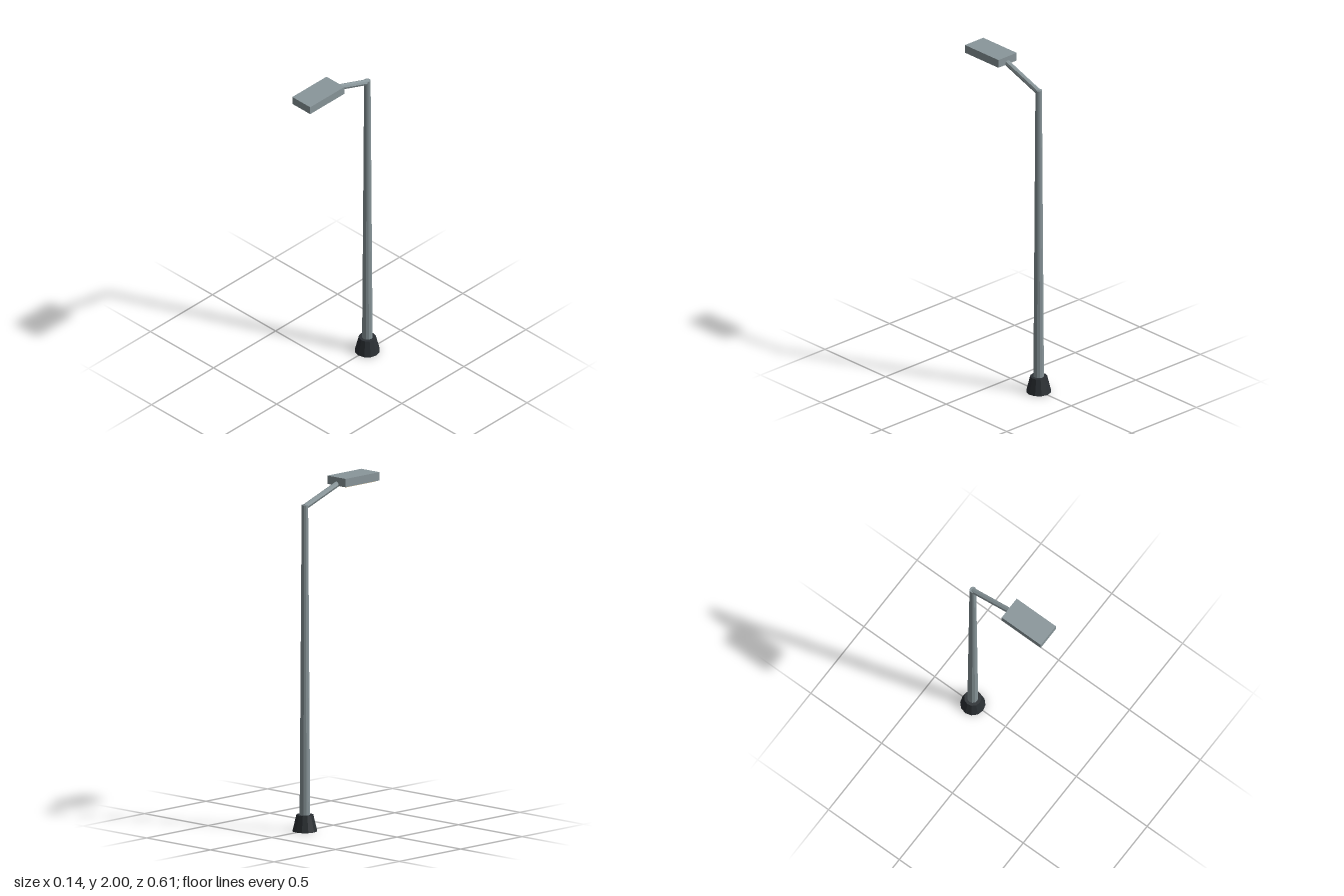
import * as THREE from 'three';

const POLE_Z = -0.231;

export function createModel() {
  const model = new THREE.Group();
  const paint = (color) => new THREE.MeshStandardMaterial({ color, flatShading: true });
  const steel = paint(0x8a979b);
  const dark = paint(0x2b3034);
  const glass = paint(0xd0ba92);

  const add = (name, geometry, material, x, y, z) => {
    const mesh = new THREE.Mesh(geometry, material);
    mesh.name = name;
    mesh.position.set(x, y, z);
    model.add(mesh);
    return mesh;
  };

  // Tapered footing and pole
  add('base', new THREE.CylinderGeometry(0.049, 0.072, 0.094, 12), dark, 0, 0.047, POLE_Z);
  add('pole', new THREE.CylinderGeometry(0.019, 0.031, 1.826, 12), steel, 0, 0.965, POLE_Z);

  // Sloping arm from the pole top to the lamp
  const start = new THREE.Vector3(0, 1.866, POLE_Z);
  const end = new THREE.Vector3(0, 1.964, 0.042);
  const along = end.clone().sub(start);
  const middle = start.clone().add(end).multiplyScalar(0.5);
  const arm = add('arm', new THREE.CylinderGeometry(0.017, 0.017, along.length(), 8), steel, ...middle);
  arm.quaternion.setFromUnitVectors(new THREE.Vector3(0, 1, 0), along.normalize());

  // Flat lamp head with an inset lens underneath
  add('lampHousing', new THREE.BoxGeometry(0.142, 0.048, 0.276), steel, 0, 1.976, 0.164);
  add('lampLens', new THREE.BoxGeometry(0.118, 0.01, 0.244), glass, 0, 1.952, 0.164);

  return model;
}
